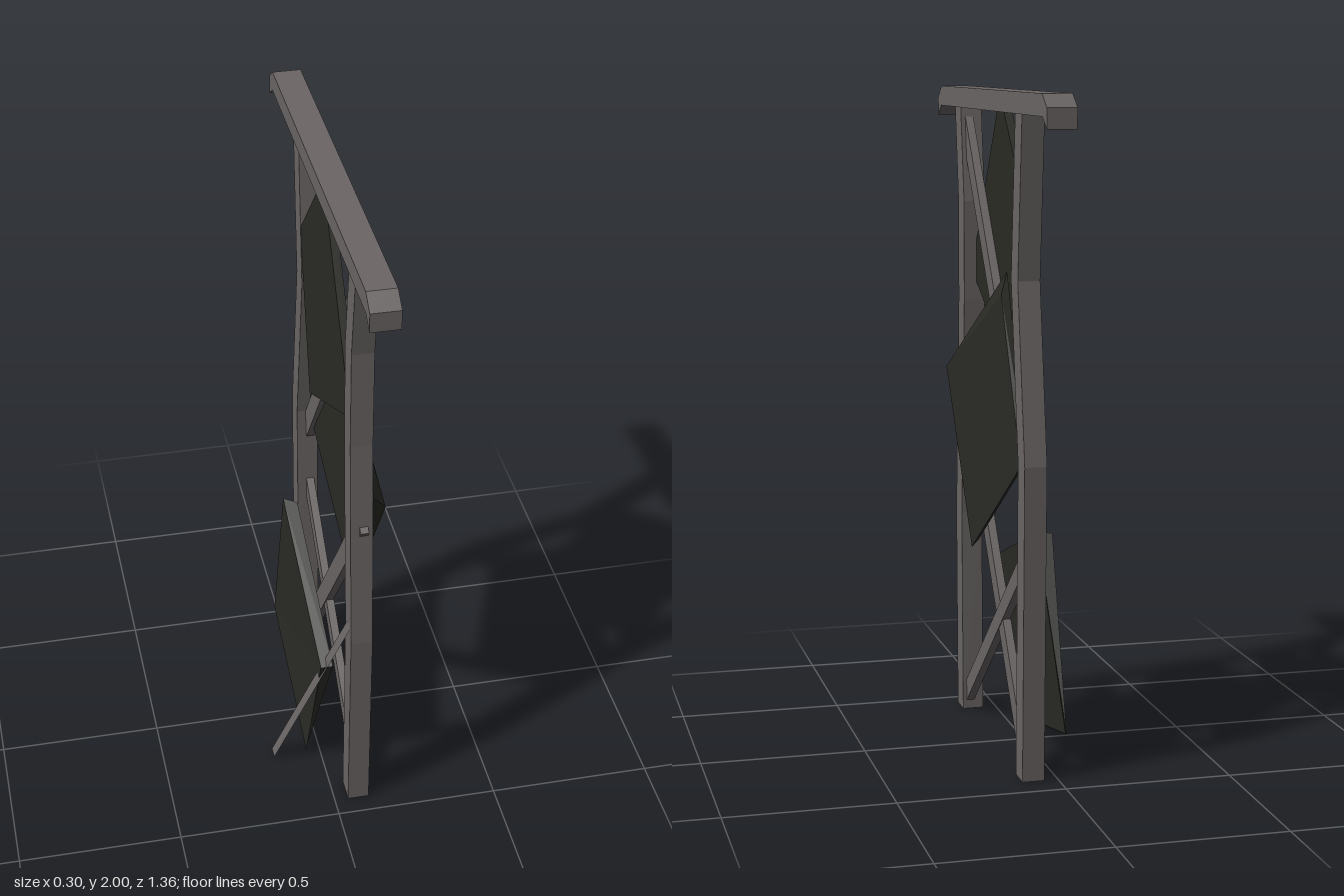
import * as THREE from 'three';

const wood = new THREE.MeshStandardMaterial({ color: 0x6b6565, flatShading: true, side: THREE.DoubleSide });
const plate = new THREE.MeshStandardMaterial({ color: 0x2a2b25, flatShading: true, side: THREE.DoubleSide });

// Side outline of [z, y] points, given thickness from x0 to x1
function sideCut(name, outline, x0, x1, material) {
  const shape = new THREE.Shape(outline.map(([z, y]) => new THREE.Vector2(-z, y)));
  const geometry = new THREE.ExtrudeGeometry(shape, { depth: x1 - x0, bevelEnabled: false });
  geometry.rotateY(Math.PI / 2).translate(x0, 0, 0);
  const mesh = new THREE.Mesh(geometry, material);
  mesh.name = name;
  return mesh;
}

// Bent post: centre line [z, y] with constant depth along z
function post(name, line) {
  const half = 0.039;
  const front = line.map(([z, y]) => [z + half, y]);
  const back = line.map(([z, y]) => [z - half, y]).reverse();
  return sideCut(name, [...front, ...back], 0.042, 0.108, wood);
}

// Straight slat between two [z, y] points
function brace(name, a, b, width, x0, x1) {
  const dz = b[0] - a[0], dy = b[1] - a[1];
  const k = width / 2 / Math.hypot(dz, dy);
  const nz = -dy * k, ny = dz * k;
  return sideCut(name, [
    [a[0] + nz, a[1] + ny], [b[0] + nz, b[1] + ny],
    [b[0] - nz, b[1] - ny], [a[0] - nz, a[1] - ny],
  ], x0, x1, wood);
}

// Tilted plate between two four-cornered loops of [x, y, z]
function slab(name, outer, inner) {
  const geometry = new THREE.BufferGeometry();
  geometry.setAttribute('position', new THREE.Float32BufferAttribute([...outer, ...inner].flat(), 3));
  const index = [0, 1, 2, 0, 2, 3, 4, 6, 5, 4, 7, 6];
  for (let i = 0; i < 4; i++) {
    const j = (i + 1) % 4;
    index.push(i, i + 4, j, j, i + 4, j + 4);
  }
  // loops run clockwise seen from +x here, so the winding is flipped
  geometry.setIndex(index);
  const flat = geometry.toNonIndexed();
  flat.computeVertexNormals();
  const mesh = new THREE.Mesh(flat, plate);
  mesh.name = name;
  return mesh;
}

export function createModel() {
  const model = new THREE.Group();
  model.name = 'braceFrame';

  // Top beam with drooping ends
  model.add(sideCut('topBeam', [
    [0.68, 1.905], [0.68, 1.963], [0.63, 2], [-0.63, 2], [-0.68, 1.963],
    [-0.68, 1.905], [-0.635, 1.938], [0.635, 1.938],
  ], 0.024, 0.11, wood));

  // Crooked posts
  model.add(post('frontPost', [[0.402, 0], [0.41, 0.65], [0.362, 1.34], [0.36, 1.65], [0.4, 1.94]]));
  model.add(post('backPost', [[-0.372, 0], [-0.398, 0.94], [-0.318, 1.465], [-0.367, 1.94]]));

  // Diagonal slats
  model.add(brace('upperBrace', [0.38, 1.89], [-0.37, 0.87], 0.066, 0.07, 0.095));
  model.add(brace('middleBrace', [0.41, 1.072], [-0.365, 0.03], 0.066, 0.069, 0.094));
  model.add(brace('lowerBrace', [0.38, 0.05], [-0.37, 0.655], 0.055, 0.071, 0.096));

  // Thin strip leaning out from the front post
  const strip = new THREE.PlaneGeometry(1, 1);
  const corners = [[0.045, 0.71, 0.44], [0.045, 0.71, 0.4], [-0.15, 0, 0.21], [-0.15, 0, 0.17]];
  corners.forEach((c, i) => strip.attributes.position.setXYZ(i, ...c));
  strip.computeVertexNormals();
  const prop = new THREE.Mesh(strip, wood);
  prop.name = 'leaningStrip';
  model.add(prop);

  // Plates
  model.add(sideCut('upperPlate', [
    [0.04, 1.945], [-0.03, 1.945], [-0.315, 1.64], [-0.17, 1.14], [0.385, 1.43],
  ], 0.044, 0.069, plate));
  model.add(slab('middlePlate',
    [[0.147, 1.12, 0.41], [0.142, 0.6, 0.085], [0.1, 0.93, -0.36], [0.114, 1.41, -0.185]],
    [[0.108, 1.168, 0.425], [0.118, 0.62, 0.095], [0.08, 0.95, -0.36], [0.09, 1.475, -0.16]]));
  model.add(slab('lowerPlate',
    [[0.005, 0.5, 0.37], [-0.037, 0.02, 0.19], [-0.028, 0.13, -0.39], [0.01, 0.7, -0.2]],
    [[-0.03, 0.49, 0.36], [-0.045, 0.01, 0.21], [-0.034, 0.125, -0.38], [-0.03, 0.7, -0.23]]));

  return model;
}
